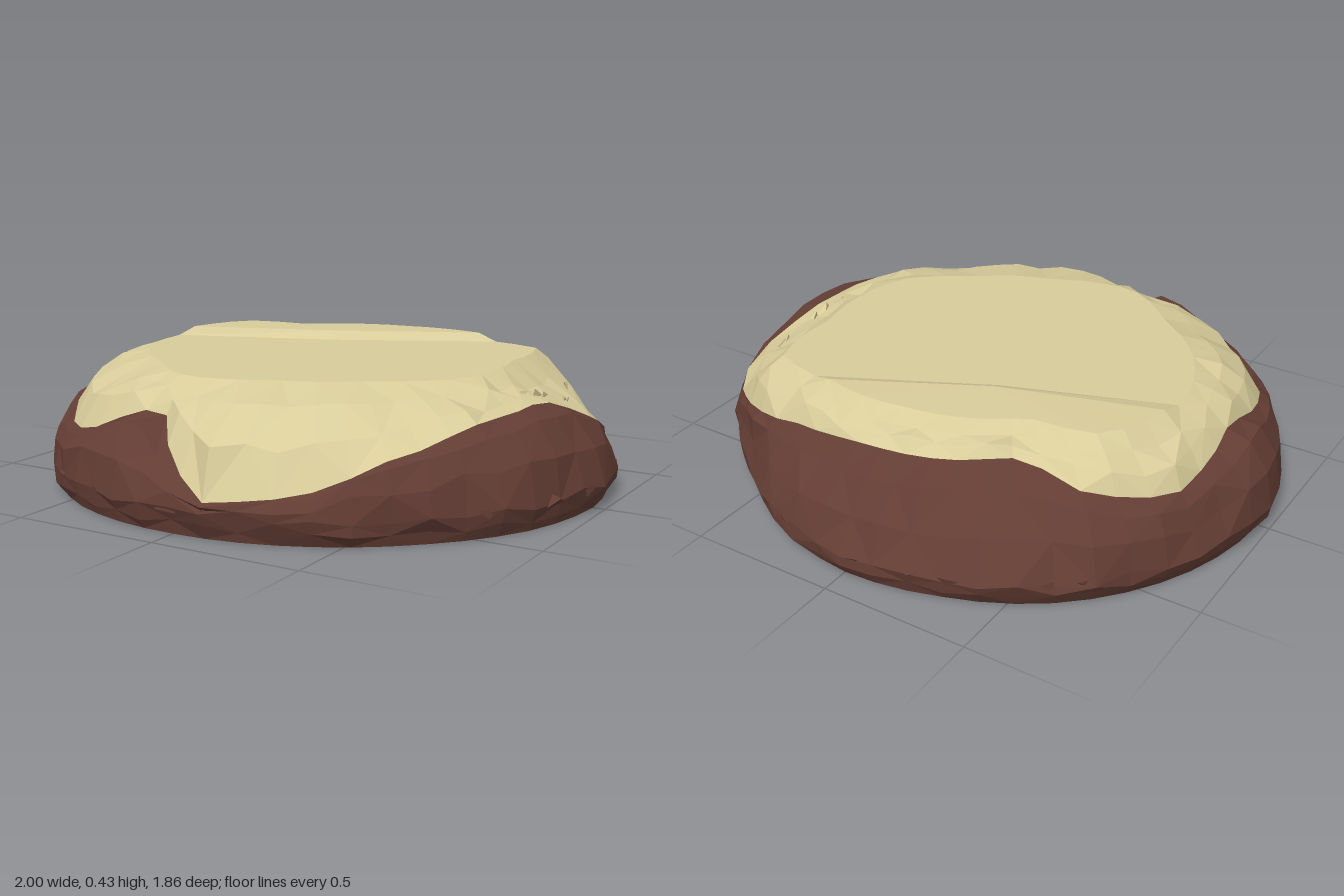
import * as THREE from 'three';
import { mergeGeometries } from 'three/addons/utils/BufferGeometryUtils.js';

const N = 52;
const rad = THREE.MathUtils.degToRad, lerp = THREE.MathUtils.lerp;

// Small seeded random, -1 to 1
let seed = 7;
function rnd() {
  seed = (seed * 16807) % 2147483647;
  return (seed / 2147483647) * 2 - 1;
}

// Rows of [degrees from +x towards +z, ...values], read round the full circle
const OUTLINE = [[0, 0.99], [20, 0.98], [43, 0.945], [65, 0.93], [90, 0.925], [122, 0.94], [150, 0.92],
  [180, 0.99], [204, 0.975], [228, 0.955], [250, 0.93], [270, 0.93], [290, 0.91], [308, 0.885],
  [325, 0.91], [334, 0.955], [345, 0.98]];
// Edge of the icing: radius and height
const DRIP = [[4, 0.79, 0.34], [29, 0.83, 0.32], [50, 0.88, 0.24], [65, 0.9, 0.15], [84, 0.905, 0.115],
  [95, 0.81, 0.22], [105, 0.7, 0.32], [114, 0.74, 0.31], [123, 0.81, 0.24], [135, 0.86, 0.2],
  [155, 0.87, 0.25], [178, 0.82, 0.33], [203, 0.89, 0.26], [221, 0.81, 0.31], [232, 0.665, 0.36],
  [259, 0.69, 0.35], [275, 0.7, 0.34], [297, 0.755, 0.31], [316, 0.85, 0.25], [334, 0.92, 0.16],
  [341, 0.93, 0.2], [349, 0.86, 0.28]];
// Edge of the flat top: radius
const PLATEAU = [[19, 0.6], [45, 0.5], [79, 0.5], [108, 0.6], [134, 0.57], [153, 0.62], [184, 0.7],
  [213, 0.72], [230, 0.56], [270, 0.58], [303, 0.65], [319, 0.74], [340, 0.62]];
// Icing shoulder: fraction inwards and upwards, full at the front drip, sunken on the left
const SHOULDER = [[0, 0.25, 0.15], [30, 0.25, 0.3], [60, 0.2, 0.5], [84, 0.14, 0.52], [104, 0.25, 0.5],
  [310, 0.25, 0.5], [332, 0.28, 0.35]];

function sample(table, deg, k = 1) {
  for (let i = 0; i < table.length; i++) {
    const a = table[i], b = table[(i + 1) % table.length];
    const span = (b[0] - a[0] + 360) % 360, d = (deg - a[0] + 360) % 360;
    if (d <= span) return lerp(a[k], b[k], d / span);
  }
  return table[0][k];
}

// A ring of points from a rule returning [radius, height], roughened by jitter
function ring(rule, jitter = 0) {
  return Array.from({ length: N }, (_, i) => {
    const deg = (i / N) * 360, a = rad(deg);
    const [r, y] = rule(deg);
    const rr = r + rnd() * jitter, yy = y + rnd() * jitter;
    return [rr * Math.cos(a), yy, rr * Math.sin(a)];
  });
}

// Faceted skin between successive rings
function loft(rings) {
  const pos = [];
  for (let k = 0; k < rings.length - 1; k++) {
    for (let i = 0; i < N; i++) {
      const j = (i + 1) % N;
      const a = rings[k][i], b = rings[k + 1][i], c = rings[k + 1][j], d = rings[k][j];
      if ((i + k) % 2) pos.push(...a, ...b, ...d, ...b, ...c, ...d);
      else pos.push(...a, ...b, ...c, ...a, ...c, ...d);
    }
  }
  const geo = new THREE.BufferGeometry();
  geo.setAttribute('position', new THREE.Float32BufferAttribute(pos, 3));
  geo.computeVertexNormals();
  return geo;
}

// Brown side: rounded, straighter at the back
const side = (t) => (d) => {
  const R = sample(OUTLINE, d), b = sample(DRIP, d), h = sample(DRIP, d, 2);
  const back = Math.max(0, -Math.sin(rad(d))) * 0.7;
  const c = lerp(Math.cos(t * Math.PI / 2), 1 - t, back);
  const s = lerp(Math.sin(t * Math.PI / 2), t, back);
  return [b + (R - b) * c, 0.09 + (h - 0.09) * s];
};

// Icing shoulder between the dripping edge and the flat top
const shoulder = (dr, dy) => (d) => [
  lerp(sample(DRIP, d), sample(PLATEAU, d), sample(SHOULDER, d, 1) + dr),
  lerp(sample(DRIP, d, 2), 0.41, sample(SHOULDER, d, 2) + dy),
];

// The flat top is stepped up behind a ridge line running between these angles
const isRaised = (d) => d > 188 && d < 304;

// Small broken flakes bedded in a surface rule, within a range of angles
function flakes(count, from, to, rule) {
  const list = [];
  for (let i = 0; i < count; i++) {
    const deg = lerp(from, to, (i + 0.5 + rnd() * 0.4) / count);
    const [r, y] = rule(deg);
    const geo = new THREE.TetrahedronGeometry(0.028 + 0.008 * rnd());
    geo.rotateX(rnd() * 3).rotateZ(rnd() * 3).scale(0.4, 0.7, 1.5);
    geo.translate(r - 0.006, Math.max(y, 0.06), 0).rotateY(-rad(deg));
    geo.computeVertexNormals();
    list.push(geo);
  }
  return list;
}

export function createModel() {
  seed = 7;
  const group = new THREE.Group();
  const chocolate = new THREE.MeshStandardMaterial({ color: 0x633d34 });
  chocolate.name = 'chocolate brown';
  const cream = new THREE.MeshStandardMaterial({ color: 0xd8cc9a });
  cream.name = 'cream';
  const add = (name, geo, mat) => {
    const mesh = new THREE.Mesh(geo, mat);
    mesh.name = name;
    group.add(mesh);
  };

  const edge = ring((d) => [sample(DRIP, d), sample(DRIP, d, 2)], 0.004);
  const foot = ring((d) => [sample(OUTLINE, d) * 0.97, 0.008]);

  // Chocolate body and its flat underside
  add('body', loft([
    foot,
    ring((d) => [sample(OUTLINE, d) * 0.99, 0.045], 0.012),
    ring(side(0), 0.012),
    ring(side(0.35), 0.014),
    ring(side(0.7), 0.012),
    edge,
  ]), chocolate);
  add('base', loft([ring(() => [0, 0.008]), foot]), chocolate);
  add('bodyFlakes', mergeGeometries(flakes(30, 0, 360, side(0))), chocolate);

  // Icing: shoulder and flat top, the top fanning from a stepped point on the ridge
  const top = ring((d) => [sample(PLATEAU, d), isRaised(d) ? 0.433 : 0.41]);
  const ridge = top.map((_, i) => (isRaised((i / N) * 360) ? [-0.17, 0.436, -0.33] : [-0.15, 0.41, -0.28]));
  add('icing', loft([
    edge,
    ring(shoulder(0, 0), 0.014),
    ring(shoulder(0.37, 0.32), 0.012),
    top,
    ridge,
  ]), cream);
  add('icingFlakes', mergeGeometries(flakes(7, 325, 365, shoulder(0.1, 0.1))), cream);

  return group;
}
